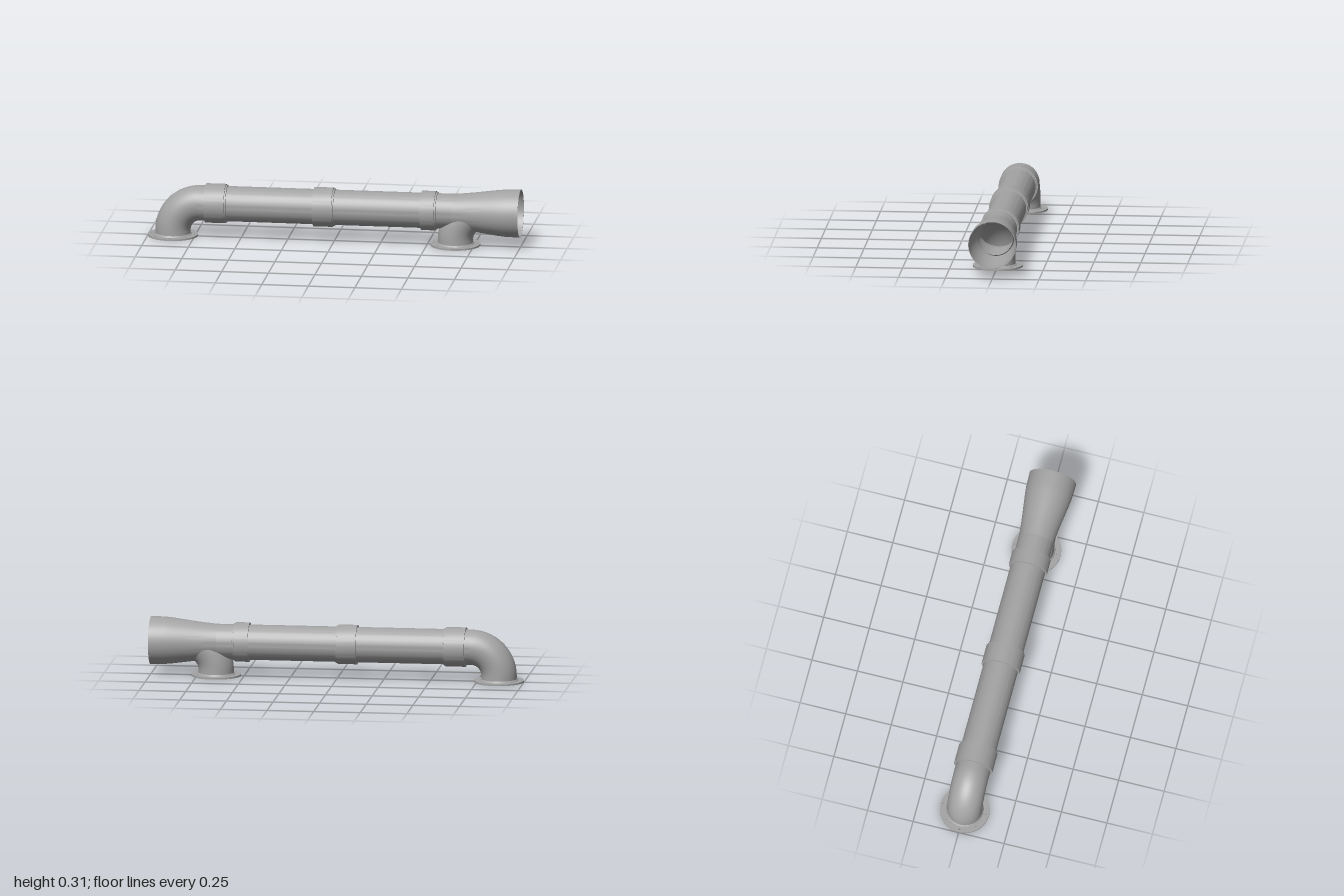
import * as THREE from 'three';
import { toCreasedNormals } from 'three/addons/utils/BufferGeometryUtils.js';

const AXIS = 0.183, R = 0.094, BEND = 0.15, SEG = 64;

export function createModel() {
  const group = new THREE.Group();
  const grey = new THREE.MeshStandardMaterial({ color: 0xa3a3a3, side: THREE.DoubleSide });
  grey.name = 'grey pipe';

  const add = (name, geometry, parent = group) => {
    const mesh = new THREE.Mesh(geometry, grey);
    mesh.name = name;
    parent.add(mesh);
    return mesh;
  };

  // revolve [radius, position] pairs, keeping hard edges crisp
  const revolve = (pts) => toCreasedNormals(
    new THREE.LatheGeometry(pts.map(([r, h]) => new THREE.Vector2(r, h)), SEG), 0.5);

  // revolve around the horizontal pipe axis, position measured along x
  const revolveX = (pts) => revolve(pts).rotateZ(-Math.PI / 2).translate(0, AXIS, 0);

  // bolted floor flange with a ring of holes
  const flangeShape = new THREE.Shape().absarc(0, 0, 0.133, 0, Math.PI * 2, false);
  const hole = (x, y, r) =>
    flangeShape.holes.push(new THREE.Path().absarc(x, y, r, 0, Math.PI * 2, true));
  hole(0, 0, 0.091);
  for (let i = 0; i < 8; i++) {
    const a = (i * Math.PI) / 4;
    hole(Math.cos(a) * 0.117, Math.sin(a) * 0.117, 0.005);
  }
  const flangeGeometry = toCreasedNormals(
    new THREE.ExtrudeGeometry(flangeShape, { depth: 0.009, bevelEnabled: false, curveSegments: 32 })
      .rotateX(-Math.PI / 2), 0.5);

  // flanged foot turning a quarter circle up into the pipe
  const addFoot = (name, x) => {
    const foot = new THREE.Group();
    foot.name = name;
    foot.position.x = x;
    group.add(foot);
    add('flange', flangeGeometry, foot);
    add('flangeWeld', revolve([[0.101, 0.009], [0.099, 0.013], [R, 0.017]]), foot);
    add('footPipe', new THREE.CylinderGeometry(R, R, AXIS - BEND, SEG, 1, true)
      .translate(0, (AXIS - BEND) / 2, 0), foot);
    add('elbow', new THREE.TorusGeometry(BEND, R, SEG, 28, Math.PI / 2)
      .rotateZ(Math.PI / 2).translate(BEND, AXIS - BEND, 0), foot);
  };
  addFoot('elbowFoot', -0.867);
  addFoot('branchFoot', 0.65);

  // straight run between the elbow and the flared end
  add('mainPipe', revolveX([[R, -0.717], [R, 0.64]]));

  // socket collars, each with a lip on the +x end
  for (const [name, x0, x1] of [
    ['elbowCollar', -0.69, -0.583],
    ['middleCollar', -0.108, -0.005],
    ['branchCollar', 0.47, 0.545],
  ]) {
    add(name, revolveX([
      [R, x0], [0.105, x0], [0.105, x1], [0.1, x1 + 0.001], [0.1, x1 + 0.009], [R, x1 + 0.01],
    ]));
  }

  // flared open end with a thin wall
  add('flare', revolveX([
    [R, 0.64], [0.097, 0.68], [0.104, 0.745], [0.114, 0.82], [0.122, 0.88], [0.126, 0.92],
    [0.128, 1], [0.125, 1], [0.123, 0.92], [0.119, 0.88], [0.111, 0.82], [0.101, 0.745],
    [0.094, 0.68], [0.091, 0.64],
  ]));

  return group;
}
